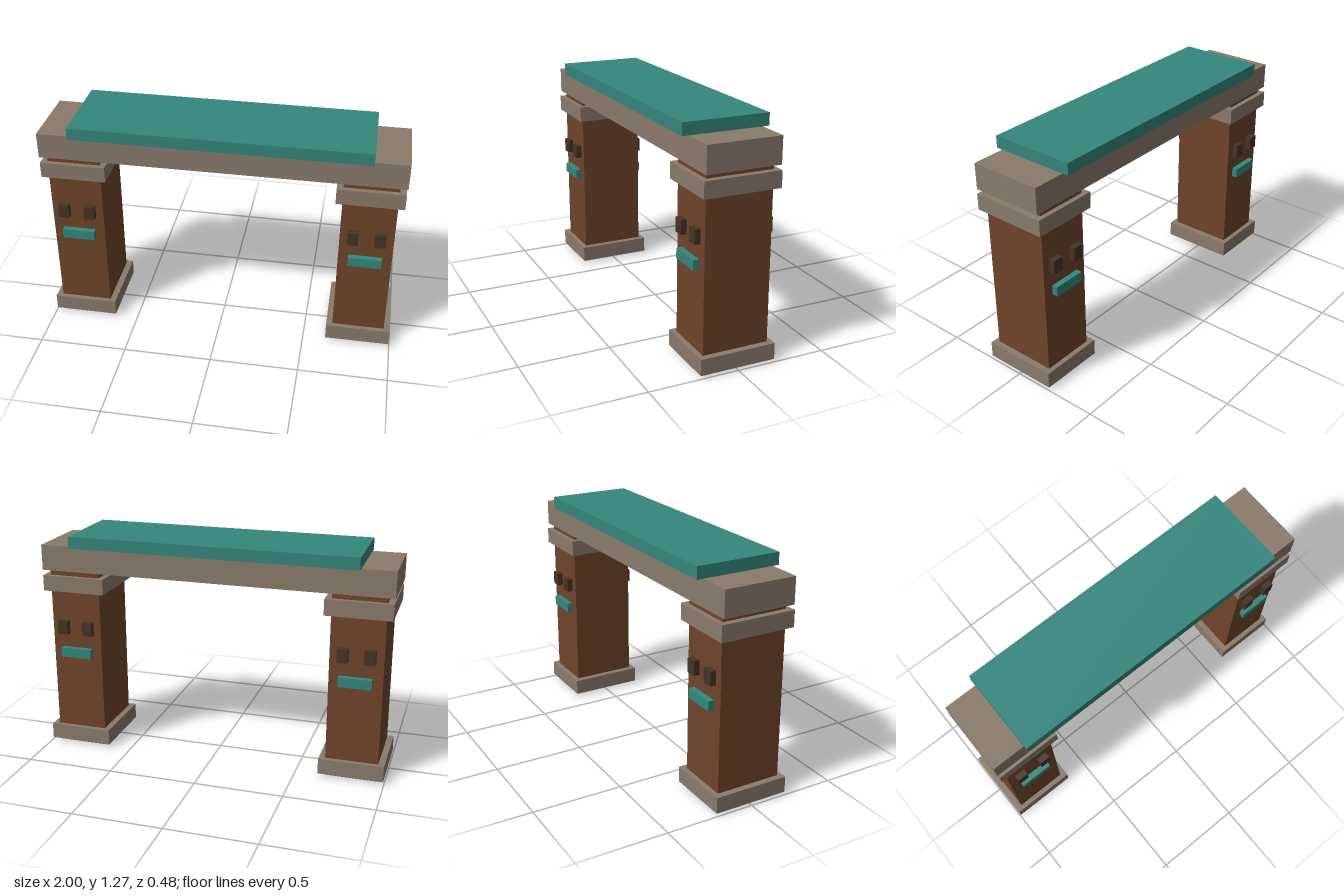
import * as THREE from 'three';

const material = (name, color) => {
  const m = new THREE.MeshStandardMaterial({ color });
  m.name = name;
  return m;
};

export function createModel() {
  const wood = material('brown wood', 0x6f442b);
  const stone = material('grey stone', 0x8a7b6b);
  const teal = material('teal paint', 0x33877c);
  const dark = material('dark wood', 0x463322);

  // Box spanning y0..y1, centred on x and z
  const box = (parent, name, mat, w, d, y0, y1, x = 0, z = 0) => {
    const mesh = new THREE.Mesh(new THREE.BoxGeometry(w, y1 - y0, d), mat);
    mesh.name = name;
    mesh.position.set(x, (y0 + y1) / 2, z);
    parent.add(mesh);
  };

  const model = new THREE.Group();
  model.name = 'gateway';

  // Two banded posts with a carved face on the front and back
  for (const [side, s] of [['left', 1], ['right', -1]]) {
    const post = new THREE.Group();
    post.name = side + 'Post';
    post.position.x = s * 0.813;
    box(post, 'shaft', wood, 0.295, 0.37, 0, 1.06);
    box(post, 'baseBand', stone, 0.365, 0.424, 0.015, 0.105);
    box(post, 'capBand', stone, 0.365, 0.424, 0.94, 1.03);
    for (const f of [1, -1]) {
      const z = f * 0.2;
      for (const e of [1, -1]) box(post, 'eye', dark, 0.06, 0.036, 0.687, 0.765, e * 0.074, z);
      box(post, 'mouth', teal, 0.184, 0.036, 0.548, 0.603, 0, z);
    }
    model.add(post);
  }

  // Lintel and roof slab
  box(model, 'lintel', stone, 2, 0.408, 1.06, 1.205);
  box(model, 'roofSlab', teal, 1.63, 0.48, 1.205, 1.272);

  return model;
}
